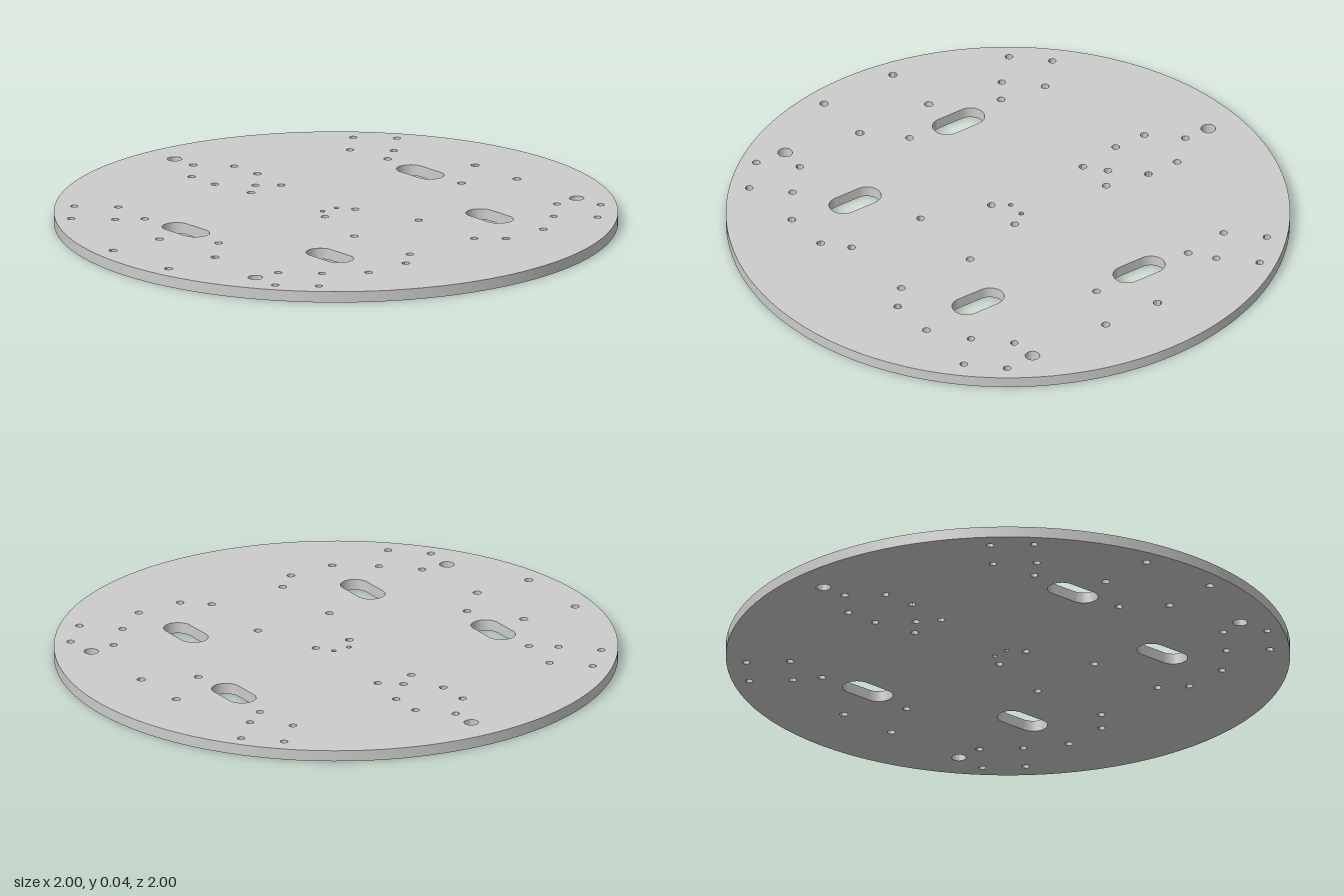
import * as THREE from 'three';
import { toCreasedNormals } from 'three/addons/utils/BufferGeometryUtils.js';

const THICKNESS = 0.04;

// Shapes are drawn in plan with y = -z
function roundHole(x, z, r) {
  return new THREE.Path().absarc(x, -z, r, 0, Math.PI * 2, true);
}

function slotHole(x, z, halfLength, r) {
  const d = halfLength - r;
  const path = new THREE.Path();
  path.absarc(x + d, -z, r, Math.PI / 2, -Math.PI / 2, true);
  path.absarc(x - d, -z, r, -Math.PI / 2, -Math.PI * 1.5, true);
  path.closePath();
  return path;
}

export function createModel() {
  const group = new THREE.Group();
  group.name = 'mountingPlate';
  const plateGrey = new THREE.MeshStandardMaterial({ color: 0xcccccc });
  plateGrey.name = 'plateGrey';

  const outline = new THREE.Shape().absarc(0, 0, 1, 0, Math.PI * 2, false);
  const drill = (x, z, r = 0.014) => outline.holes.push(roundHole(x, z, r));

  // Holes mirrored front to back
  const mirrored = [
    [-0.377, 0.57], [0.022, 0.57],
    [0.648, 0.41], [0.648, 0.235],
    [0.273, 0.151], [0.573, 0.151],
    [-0.665, 0.1], [-0.54, 0.1],
    [-0.377, 0.071], [0.022, 0.071],
    [-0.035, 0.032, 0.009],
    [0.432, 0.754, 0.026],
  ];
  for (const side of [-1, 1]) {
    for (const [x, z, r] of mirrored) drill(x, side * z, r);

    // Diamond of four holes near each corner
    for (const sx of [-1, 1]) {
      for (const [dx, dz] of [[0.11, 0], [-0.11, 0], [0, 0.11], [0, -0.11]]) {
        drill(sx * 0.55 + dx, side * 0.654 + dz, 0.0135);
      }
    }

    // Cable slots
    outline.holes.push(slotHole(-0.178, side * 0.55, 0.102, 0.051));
    outline.holes.push(slotHole(0.398, side * 0.375, 0.102, 0.051));
  }

  // Single holes: left row, back pair and front square
  drill(-0.872, 0, 0.026);
  drill(-0.772, 0);
  drill(-0.435, 0);
  for (const x of [-0.114, 0.112]) drill(x, -0.752, 0.015);
  for (const x of [-0.152, 0.148]) for (const z of [0.696, 0.914]) drill(x, z, 0.015);

  // Drilled disc
  let geometry = new THREE.ExtrudeGeometry(outline, {
    depth: THICKNESS, bevelEnabled: false, curveSegments: 48,
  });
  geometry.rotateX(-Math.PI / 2);
  geometry = toCreasedNormals(geometry, Math.PI / 5);
  const disc = new THREE.Mesh(geometry, plateGrey);
  disc.name = 'drilledDisc';
  group.add(disc);
  return group;
}
